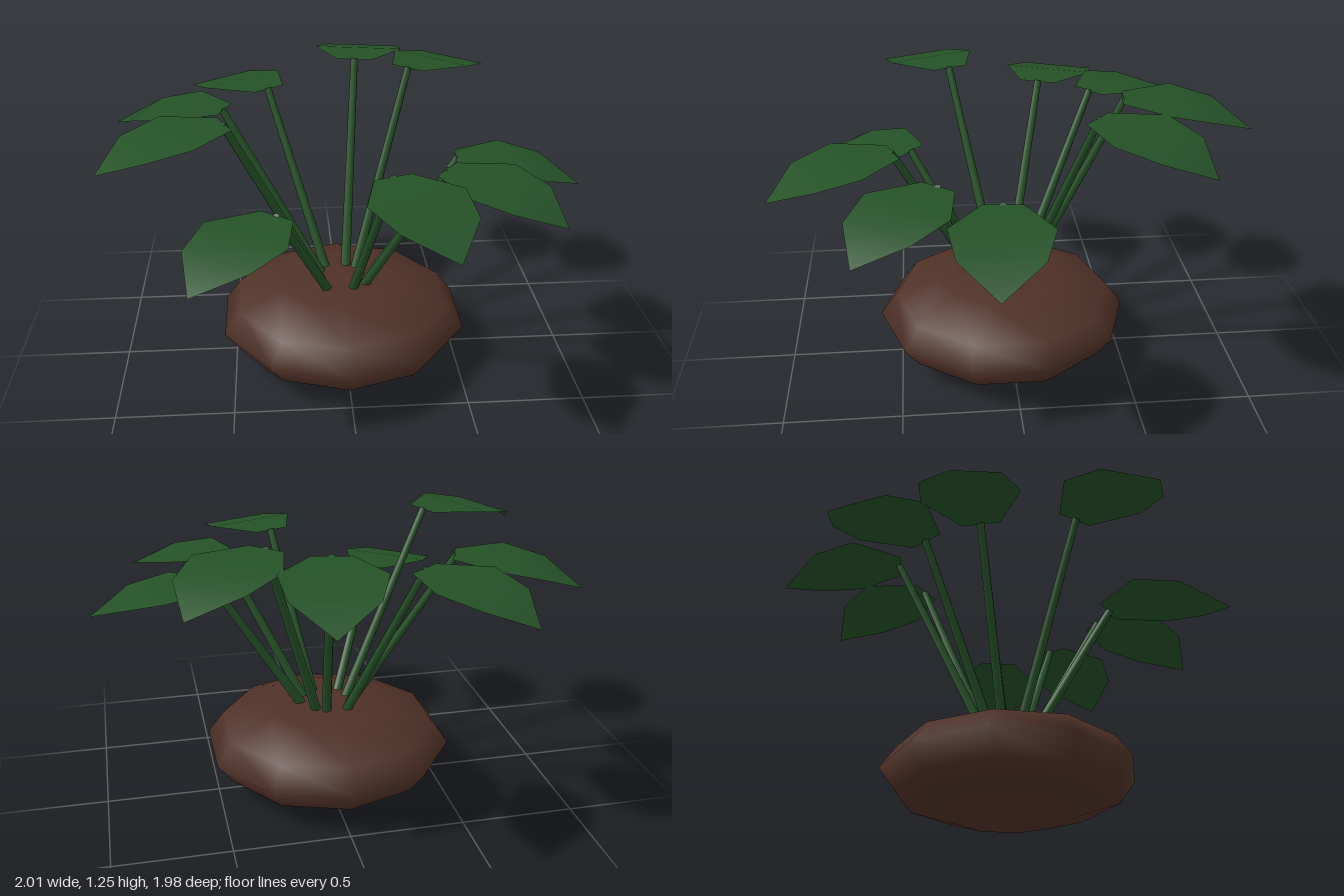
import * as THREE from 'three';

// Each plant shoot: stem foot [x, z], stem top [x, y, z], leaf tip [x, z]
const SHOOTS = [
  { foot: [0.01, -0.06], top: [0.08, 1.24, -0.47], tip: [0.175, -0.99] },
  { foot: [0.05, -0.04], top: [0.31, 1.24, -0.325], tip: [0.66, -0.715] },
  { foot: [0.10, 0.04], top: [0.48, 0.965, 0.07], tip: [1.0, 0.12] },
  { foot: [0.08, 0.1], top: [0.40, 1.015, 0.32], tip: [0.82, 0.65] },
  { foot: [0.03, 0.13], top: [0.155, 1.065, 0.5], tip: [0.335, 0.985] },
  { foot: [-0.08, 0.13], top: [-0.30, 0.88, 0.425], tip: [-0.62, 0.83] },
  { foot: [-0.1, 0.06], top: [-0.5, 1.2, 0.235], tip: [-0.98, 0.44] },
  { foot: [-0.1, -0.01], top: [-0.52, 1.115, -0.18], tip: [-1.0, -0.37] },
  { foot: [-0.08, -0.06], top: [-0.32, 1.135, -0.39], tip: [-0.64, -0.807] },
];

// Leaf blade along +x: rows of [distance, height, half width], drooping to a point
function leafGeometry() {
  const rows = [[-0.01, 0, 0.08], [0.19, -0.002, 0.205], [0.37, -0.04, 0.163], [0.525, -0.12, 0]];
  const positions = [];
  const index = [];
  rows.forEach(([x, y, w], i) => {
    positions.push(x, y, -w, x, y, w);
    if (i === 0) return;
    const a = 2 * i - 2;
    index.push(a, a + 1, a + 3);
    if (w > 0) index.push(a, a + 3, a + 2);
    else index[index.length - 1] = a + 2;
  });
  const g = new THREE.BufferGeometry();
  g.setAttribute('position', new THREE.Float32BufferAttribute(positions, 3));
  g.setIndex(index);
  g.computeVertexNormals();
  return g;
}

// Tapered stem between two points
function makeStem(from, to, material) {
  const dir = to.clone().sub(from);
  const stem = new THREE.Mesh(new THREE.CylinderGeometry(0.016, 0.022, dir.length(), 8), material);
  stem.position.copy(from).addScaledVector(dir, 0.5);
  stem.quaternion.setFromUnitVectors(new THREE.Vector3(0, 1, 0), dir.normalize());
  stem.name = 'stem';
  return stem;
}

export function createModel() {
  const model = new THREE.Group();
  model.name = 'leafyPlant';
  const soilBrown = new THREE.MeshStandardMaterial({ color: 0x4f3127 });
  soilBrown.name = 'soil brown';
  const leafGreen = new THREE.MeshStandardMaterial({ color: 0x255127, side: THREE.DoubleSide });
  leafGreen.name = 'leaf green';

  // Flattened ten-sided mound
  const mound = new THREE.Mesh(new THREE.SphereGeometry(0.555, 10, 6), soilBrown);
  mound.name = 'soilMound';
  mound.scale.y = 0.2 / 0.555;
  mound.rotation.y = Math.PI / 2;
  mound.position.set(-0.012, 0.2, 0.033);
  model.add(mound);

  // Ring of stems, each carrying one outward-facing leaf
  const blade = leafGeometry();
  SHOOTS.forEach(({ foot, top, tip }) => {
    const shoot = new THREE.Group();
    shoot.name = 'shoot';
    const end = new THREE.Vector3(...top);
    shoot.add(makeStem(new THREE.Vector3(foot[0], 0.37, foot[1]), end, leafGreen));
    const leaf = new THREE.Mesh(blade, leafGreen);
    leaf.name = 'leaf';
    leaf.position.copy(end);
    leaf.rotation.y = Math.atan2(-(tip[1] - end.z), tip[0] - end.x);
    shoot.add(leaf);
    model.add(shoot);
  });
  return model;
}
